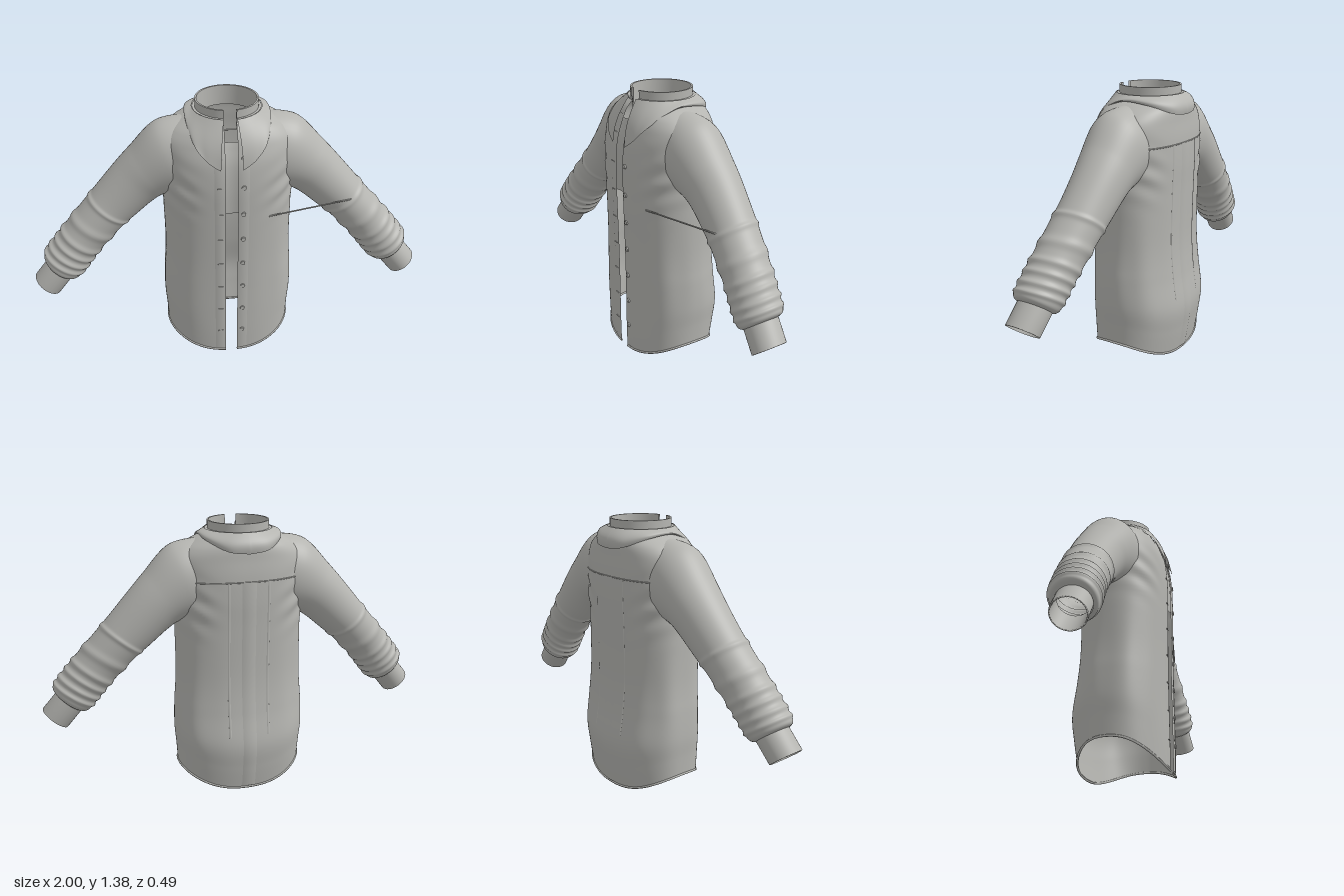
import * as THREE from 'three';

const cloth = new THREE.MeshStandardMaterial({ color: 0xb5b5b1, side: THREE.DoubleSide });
cloth.name = 'grey cloth';

// Smooth surface from a rule fn(u, v) -> [x, y, z]; closed wraps around in u
function surface(name, nu, nv, fn, closed = false) {
  const pos = [], idx = [], cols = closed ? nu : nu + 1;
  for (let j = 0; j <= nv; j++) for (let i = 0; i < cols; i++) pos.push(...fn(i / nu, j / nv));
  for (let j = 0; j < nv; j++) for (let i = 0; i < nu; i++) {
    const a = j * cols + i, b = j * cols + (i + 1) % cols;
    idx.push(a, b, b + cols, a, b + cols, a + cols);
  }
  const g = new THREE.BufferGeometry();
  g.setAttribute('position', new THREE.Float32BufferAttribute(pos, 3));
  g.setIndex(idx);
  g.computeVertexNormals();
  return part(name, g);
}

function part(name, geometry) {
  const m = new THREE.Mesh(geometry, cloth);
  m.name = name;
  return m;
}

// Smooth interpolation through the rows of a table, t in 0..1
function sample(rows, t) {
  const f = t * (rows.length - 1), i = Math.min(Math.floor(f), rows.length - 2), k = f - i;
  const at = n => rows[Math.max(0, Math.min(rows.length - 1, n))];
  return rows[0].map((_, c) => {
    const [p, q, r, s] = [at(i - 1)[c], at(i)[c], at(i + 1)[c], at(i + 2)[c]];
    return q + 0.5 * k * (r - p + k * (2 * p - 5 * q + 4 * r - s + k * (3 * (q - r) + s - p)));
  });
}

// Torso sections: height, half width, front depth, back depth
const TORSO = [
  [0, .325, .228, .205], [.12, .33, .23, .225], [.25, .337, .23, .238], [.42, .333, .23, .215],
  [.6, .322, .232, .202], [.85, .322, .237, .205], [1.0, .325, .238, .21], [1.12, .33, .228, .208],
  [1.2, .32, .205, .2], [1.25, .28, .185, .195], [1.285, .22, .165, .185], [1.31, .16, .14, .165],
];
const POW = 0.85;
const bend = c => Math.sign(c) * Math.abs(c) ** POW;
const gauss = (d, w) => Math.exp(-((d / w) ** 2));
const angleAt = (x, hw) => Math.sign(x) * Math.asin(Math.min(1, (Math.abs(x) / hw) ** (1 / POW)));

// Point on the torso; angle 0 is the front, the hem rises at the sides
function torsoPoint(angleOf, t, off = 0) {
  const [y, hw, zf, zb] = sample(TORSO, t);
  const a = angleOf(hw), s = Math.sin(a), c = Math.cos(a), sx = bend(s), cz = bend(c);
  const x = Math.abs(hw * sx);
  const crease = .005 * Math.sin(55 * (y - .55 * x)) * gauss(x - .25, .08) * gauss(y - .97, .12);
  const drape = .003 * Math.sin(a * 9) * gauss(y - .45, .3) * Math.abs(s);
  const d = off + crease + drape;
  return [hw * sx + d * s, y + .1 * s * s * Math.max(0, 1 - y / .5), (c > 0 ? zf : zb) * cz + d * c];
}

// Table parameter for a given torso height
function paramAt(y) {
  let lo = 0, hi = 1;
  for (let i = 0; i < 30; i++) {
    const m = (lo + hi) / 2;
    if (sample(TORSO, m)[0] < y) lo = m; else hi = m;
  }
  return lo;
}

// Narrow band lying on the torso between two x values and two heights
function band(name, x0, x1, y0, y1, off, back = false) {
  const t0 = paramAt(y0), t1 = paramAt(y1);
  return surface(name, 4, 70, (u, v) => torsoPoint(hw => {
    const a = angleAt(x0 + (x1 - x0) * u, hw);
    return back ? Math.PI - a : a;
  }, t0 + (t1 - t0) * v, off * (u === 0 || u === 1 ? .3 : 1)));
}

// Sleeve rings: centre x y z, upward direction x y, radius in front plane, radius in z
const SLEEVE = [
  [.2, 1.1, 0, 0, 1, .19, .15], [.28, 1.08, -.003, .35, .94, .19, .155],
  [.385, 1.01, -.008, .58, .81, .15, .14], [.455, .95, -.01, .68, .73, .135, .13],
  [.55, .855, -.005, .72, .69, .124, .122], [.62, .785, .003, .74, .67, .116, .12],
  [.73, .665, .02, .74, .67, .112, .115], [.8, .58, .033, .77, .64, .111, .113],
  [.855, .51, .042, .79, .61, .108, .108], [.866, .49, .046, .78, .63, .078, .084],
];
const CUFF = [
  [.85, .51, .042, .77, .64, .077, .084], [.94, .402, .055, .77, .64, .077, .083],
  [.941, .401, .055, .77, .64, .07, .076], [.85, .51, .042, .77, .64, .069, .075],
];
const FOLDS = [[.52, .006], [.62, .007], [.69, .008], [.745, .008], [.8, .009], [.85, .008]];

function ring([x, y, z, nx, ny, a, b], u, side, swell = 0) {
  const q = u * Math.PI * 2 * side, c = Math.cos(q) * (a + swell), s = Math.sin(q) * (b + swell);
  return [side * (x + nx * c), y + ny * c, z + s];
}

// Collar lower edge from front tip to centre back
const COLLAR = [
  [.052, 1.11, .24], [.115, 1.155, .228], [.172, 1.225, .182], [.198, 1.3, .04],
  [.186, 1.292, -.11], [.1, 1.25, -.2], [0, 1.237, -.215],
];

export function createModel() {
  const shirt = new THREE.Group();
  shirt.name = 'shirt';

  // Body, open down the front and at the hem
  const gap = hw => angleAt(.03, hw);
  const around = u => hw => gap(hw) + u * (Math.PI * 2 - 2 * gap(hw));
  shirt.add(surface('body', 120, 110, (u, v) => torsoPoint(around(u), v)));

  // Rolled hem and shoulder yoke seam
  const line = (t, off) => new THREE.CatmullRomCurve3(Array.from({ length: 61 },
    (_, i) => new THREE.Vector3(...torsoPoint(around(i / 60), t, off))));
  shirt.add(part('hem', new THREE.TubeGeometry(line(0, 0), 160, .006, 6)));
  const yokeT = paramAt(1.1);
  const yoke = new THREE.CatmullRomCurve3(Array.from({ length: 21 }, (_, i) =>
    new THREE.Vector3(...torsoPoint(() => Math.PI * (.65 + .7 * i / 20), yokeT, 0))));
  shirt.add(part('yokeSeam', new THREE.TubeGeometry(yoke, 60, .003, 5)));

  // Button plackets, upper closure and box pleat at the back
  shirt.add(band('buttonPlacket', .03, .083, .01, 1.25, .004));
  shirt.add(band('buttonholePlacket', -.083, -.03, .01, 1.25, .004));
  shirt.add(band('upperClosure', -.045, .045, .87, 1.23, -.012));
  shirt.add(band('backPleat', -.035, .035, .01, 1.1, .006, true));
  for (const s of [-1, 1]) shirt.add(band('pleatFold', s * .1 - .006, s * .1 + .006, .3, 1.1, .003, true));

  // Buttons and buttonholes
  for (let i = 0; i < 8; i++) {
    const t = paramAt(.14 + i * .146);
    const button = part('button', new THREE.CylinderGeometry(.011, .012, .008, 16));
    button.position.set(...torsoPoint(hw => angleAt(.055, hw), t, .006));
    button.rotation.x = Math.PI / 2;
    const hole = part('buttonhole', new THREE.BoxGeometry(.026, .004, .004));
    hole.position.set(...torsoPoint(hw => angleAt(-.055, hw), t, .005));
    shirt.add(button, hole);
  }

  for (const side of [1, -1]) {
    const arm = new THREE.Group();
    arm.name = side > 0 ? 'leftArm' : 'rightArm';
    // Sleeve with gathered folds near the wrist
    arm.add(surface('sleeve', 48, 140, (u, v) => {
      const lean = .012 * Math.sin(u * Math.PI * 2 + 1);
      const swell = FOLDS.reduce((sum, [p, h]) => sum + h * gauss(v - p - lean, .014), 0);
      return ring(sample(SLEEVE, v), u, side, swell);
    }, true));
    // Cuff with wall thickness
    arm.add(surface('cuff', 40, 3, (u, v) => ring(CUFF[Math.round(v * 3)], u, side), true));
    shirt.add(arm);

    // Folded collar leaf
    shirt.add(surface('collarLeaf', 48, 10, (u, v) => {
      const a = .19 + (Math.PI - .19) * u, low = sample(COLLAR, u);
      const top = [.167 * Math.sin(a), 1.332, -.006 + .167 * Math.cos(a)];
      const puff = .02 * Math.sin(Math.PI * v);
      const p = top.map((c, k) => c + (low[k] - c) * v);
      return [side * (p[0] + puff * Math.sin(a)), p[1], p[2] + puff * Math.cos(a)];
    }));
  }

  // Standing collar band, open at the front, with a folded-over top
  const stand = [[.165, 1.33], [.152, 1.33], [.152, 1.37], [.143, 1.37], [.143, 1.27]];
  for (let k = 0; k < 4; k++) {
    shirt.add(surface('collarStand', 64, 1, (u, v) => {
      const a = .2 + u * (Math.PI * 2 - .4), [r, y] = stand[k + v];
      return [r * Math.sin(a), y, -.008 + r * Math.cos(a)];
    }));
  }

  // Loose thread from chest to sleeve
  const thread = new THREE.LineCurve3(new THREE.Vector3(.185, .828, .205), new THREE.Vector3(.62, .84, .112));
  shirt.add(part('looseThread', new THREE.TubeGeometry(thread, 1, .004, 5)));
  return shirt;
}
